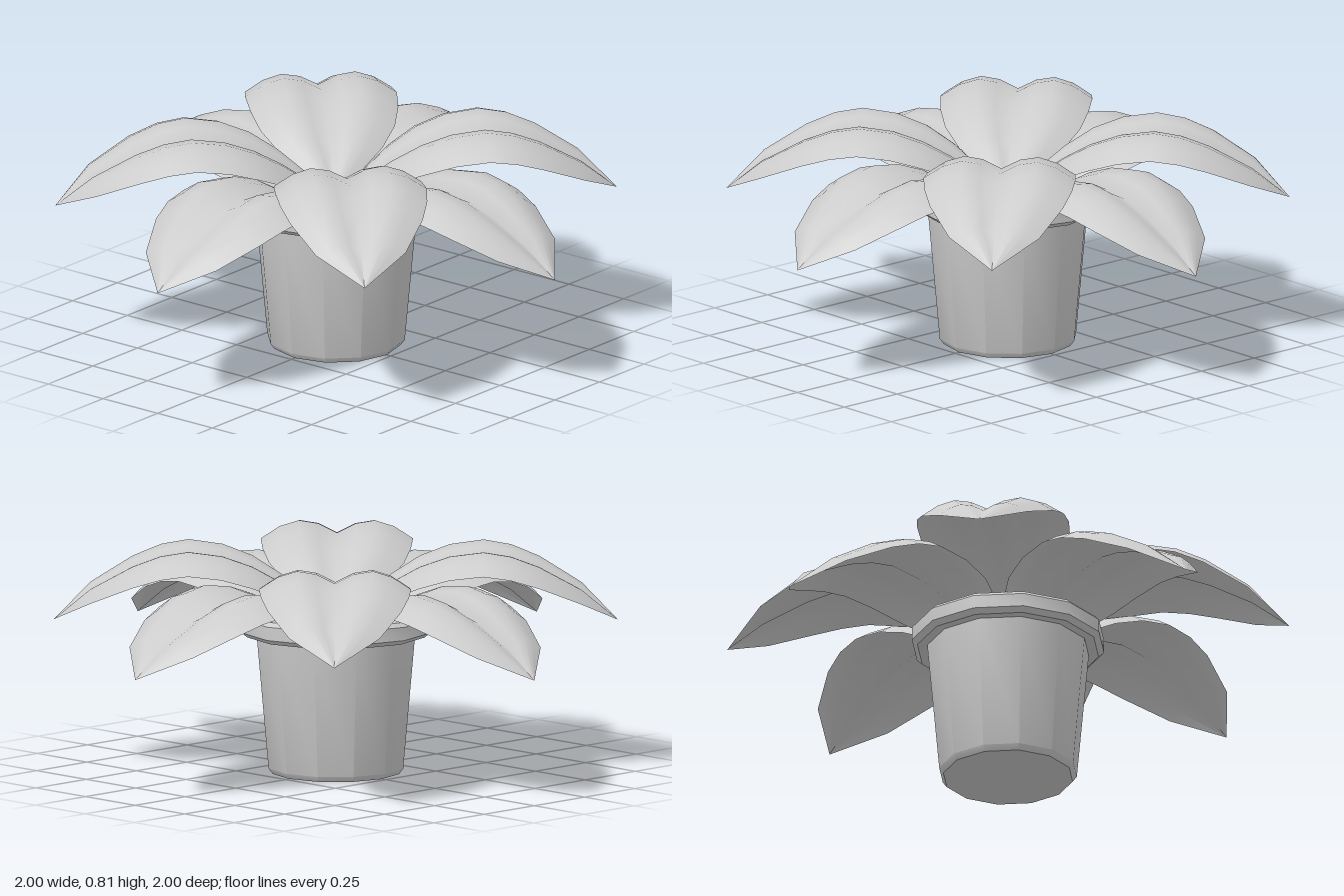
import * as THREE from 'three';
import { toCreasedNormals } from 'three/addons/utils/BufferGeometryUtils.js';

// Leaf stations: distance from the centre, half width, midrib height
const STATIONS = [
  [0, 0.004, 0.53], [0.085, 0.083, 0.595], [0.198, 0.186, 0.665],
  [0.297, 0.24, 0.715], [0.403, 0.263, 0.75], [0.523, 0.27, 0.765],
  [0.62, 0.262, 0.75], [0.72, 0.236, 0.715], [0.87, 0.16, 0.64], [1, 0, 0.545],
];
const ACROSS = 8;

// Leaf pointing along +z, folded down at the midrib and drooping at the edges
function leafGeometry() {
  const positions = [], index = [];
  STATIONS.forEach(([u, w, y], i) => {
    for (let j = 0; j <= ACROSS; j++) {
      const t = (j / ACROSS) * 2 - 1, a = Math.abs(t);
      const fold = (w / 0.27) * (0.05 * Math.sin(Math.PI * a) - 0.02 * a * a);
      positions.push(t * w, y + fold, u);
      if (i > 0 && j > 0) {
        const d = i * (ACROSS + 1) + j, c = d - 1;
        const b = d - ACROSS - 1, e = b - 1;
        index.push(e, c, b);
        if (i < STATIONS.length - 1 || j > 0) index.push(b, c, d);
      }
    }
  });
  const geometry = new THREE.BufferGeometry();
  geometry.setAttribute('position', new THREE.Float32BufferAttribute(positions, 3));
  geometry.setIndex(index);
  geometry.computeVertexNormals();
  return geometry;
}

export function createModel() {
  const model = new THREE.Group();
  model.name = 'pottedPlant';
  const clay = new THREE.MeshStandardMaterial({ color: 0xcccccc });
  const leafMaterial = new THREE.MeshStandardMaterial({ color: 0xcccccc, side: THREE.DoubleSide });

  // Tapered pot with bevelled foot and rim
  const lathe = (name, profile) => {
    const points = profile.map(([r, y]) => new THREE.Vector2(r, y));
    const mesh = new THREE.Mesh(toCreasedNormals(new THREE.LatheGeometry(points, 12), 0.55), clay);
    mesh.name = name;
    model.add(mesh);
  };
  lathe('pot', [
    [0, 0], [0.232, 0], [0.247, 0.02], [0.29, 0.495], [0.325, 0.495],
    [0.345, 0.512], [0.345, 0.56], [0.33, 0.575], [0.285, 0.575], [0.275, 0.5],
  ]);
  lathe('soil', [[0.277, 0.5], [0, 0.5]]);

  // Upper leaves on the diagonals, lower leaves on the axes
  const geometry = leafGeometry();
  for (let i = 0; i < 8; i++) {
    const upper = i % 2 === 1;
    const leaf = new THREE.Mesh(geometry, leafMaterial);
    leaf.name = upper ? 'upperLeaf' : 'lowerLeaf';
    leaf.rotation.y = (i * Math.PI) / 4;
    leaf.position.y = upper ? 0 : -0.095;
    model.add(leaf);
  }
  return model;
}
